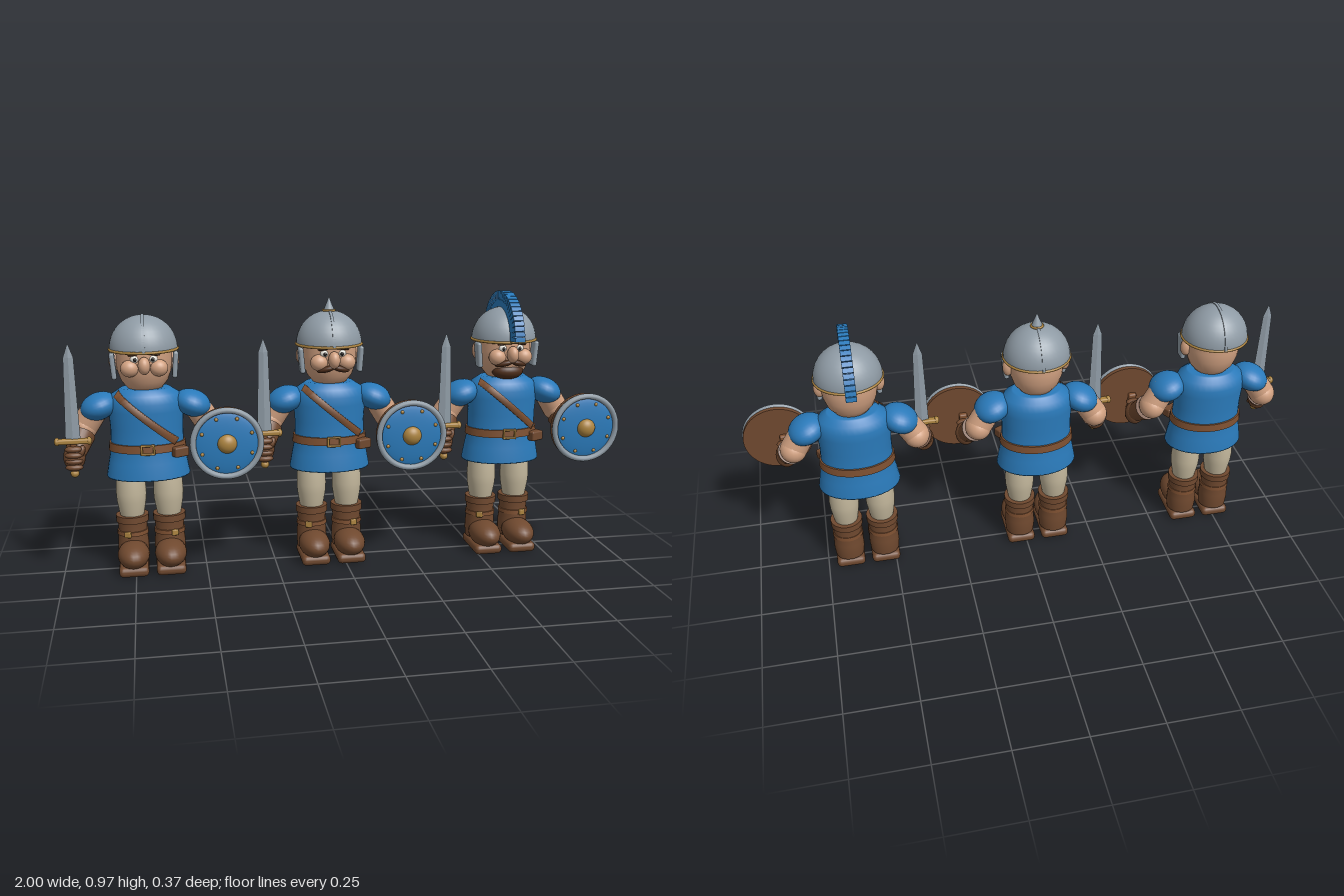
import * as THREE from 'three';
import { RoundedBoxGeometry } from 'three/addons/geometries/RoundedBoxGeometry.js';
import { ConvexGeometry } from 'three/addons/geometries/ConvexGeometry.js';

const mat = (name, color) => Object.assign(new THREE.MeshStandardMaterial({ color }), { name });
const M = {
  skin: mat('skin', 0xd0a080), blue: mat('blue cloth', 0x2a7aba), steel: mat('steel', 0x8f9ba5),
  gold: mat('brass', 0xac8440), leather: mat('leather', 0x70492f), belt: mat('belt leather', 0x7e5031),
  hair: mat('hair', 0x4f2f1c), linen: mat('linen', 0xc2b69b), white: mat('eye white', 0xeeeae0), dark: mat('pupil', 0x1c1a1a),
};
M.belt.side = THREE.DoubleSide;

const V = (x, y, z) => new THREE.Vector3(x, y, z);
const ball = new THREE.SphereGeometry(1, 24, 16);
const smallBall = new THREE.SphereGeometry(1, 12, 8);
const dome = new THREE.SphereGeometry(1, 36, 10, 0, Math.PI * 2, 0, Math.PI / 2);
const rbox = (w, h, d, r = 0.006) => new RoundedBoxGeometry(w, h, d, 2, r);
const cyl = (r0, r1, h, n = 32) => new THREE.CylinderGeometry(r0, r1, h, n);
const lathe = (pts) => new THREE.LatheGeometry(pts.map(([r, y]) => new THREE.Vector2(r, y)), 36);

function add(parent, name, geo, material, pos = [0, 0, 0], scale = [1, 1, 1], rot = [0, 0, 0]) {
  const m = new THREE.Mesh(geo, material);
  m.name = name;
  m.position.set(...pos);
  m.scale.set(...scale);
  m.rotation.set(...rot);
  parent.add(m);
  return m;
}

// tapered tube between two points
function limb(parent, name, material, a, b, ra, rb) {
  const m = add(parent, name, cyl(rb, ra, a.distanceTo(b), 24), material);
  m.position.copy(a).lerp(b, 0.5);
  m.quaternion.setFromUnitVectors(V(0, 1, 0), b.clone().sub(a).normalize());
}

// flat ring sector standing in the side plane
function arcPlate(r0, r1, a0, a1, width, n = 24) {
  const s = new THREE.Shape();
  s.absarc(0, 0, r1, a0, a1, false);
  s.absarc(0, 0, r0, a1, a0, true);
  const g = new THREE.ExtrudeGeometry(s, { depth: width, bevelEnabled: false, curveSegments: n });
  return g.translate(0, 0, -width / 2).rotateY(Math.PI / 2);
}

const TORSO = [[0.143, 0.345], [0.145, 0.35], [0.136, 0.40], [0.126, 0.45], [0.125, 0.52], [0.129, 0.58],
  [0.128, 0.61], [0.117, 0.638], [0.09, 0.655]];
const DEPTH = 0.73;
function torsoRadius(y) {
  for (let i = 1; i < TORSO.length; i++) {
    const [r0, y0] = TORSO[i - 1], [r1, y1] = TORSO[i];
    if (y <= y1) return r0 + (r1 - r0) * (y - y0) / (y1 - y0);
  }
  return 0.09;
}

// chest strap laid over the tunic surface
function strapGeometry() {
  const g = new THREE.PlaneGeometry(1, 1, 20, 3), p = g.attributes.position;
  const d = V(0.2, -0.17, 0), n = V(0.17, 0.2, 0).normalize();
  for (let i = 0; i < p.count; i++) {
    const t = p.getX(i), row = Math.round(p.getY(i) * 6); // rows -3, -1, 1, 3
    const x = d.x * t + n.x * Math.sign(row) * 0.012;
    const y = 0.56 + d.y * t + n.y * Math.sign(row) * 0.012;
    const z = DEPTH * Math.sqrt(Math.max(0.0004, torsoRadius(y) ** 2 - x * x));
    p.setXYZ(i, x, y, z + (Math.abs(row) === 1 ? 0.01 : -0.004));
  }
  g.computeVertexNormals();
  return g;
}

function buildBody(g) {
  add(g, 'tunic', lathe([[0, 0.345], ...TORSO, [0.085, 0.659], [0, 0.66]]), M.blue, [0, 0, -0.003], [1, 1, DEPTH]);
  add(g, 'belt', cyl(0.131, 0.134, 0.028, 40), M.belt, [0, 0.456, -0.003], [1, 1, 0.75]);
  add(g, 'chestStrap', strapGeometry(), M.belt);
  add(g, 'pouch', rbox(0.055, 0.035, 0.035), M.leather, [0.11, 0.44, 0.065], [1, 1, 1], [0, 0.5, 0]);
  const buckle = new THREE.Group();
  buckle.name = 'beltBuckle';
  buckle.position.set(0, 0.457, 0.1);
  for (const s of [-1, 1]) {
    add(buckle, 'buckleSide', rbox(0.008, 0.036, 0.008, 0.003), M.gold, [s * 0.021, 0, 0]);
    add(buckle, 'buckleBar', rbox(0.05, 0.008, 0.008, 0.003), M.gold, [0, s * 0.015, 0]);
  }
  g.add(buckle);
}

function buildLeg(g, s) {
  const x = s * 0.065;
  add(g, 'trouserLeg', lathe([[0.04, 0.18], [0.047, 0.21], [0.054, 0.25], [0.056, 0.28], [0.054, 0.32], [0.05, 0.36]]), M.linen, [x, 0, -0.016], [0.95, 1, 1]);
  add(g, 'bootCuff', cyl(0.059, 0.059, 0.024), M.leather, [x, 0.186, -0.017], [0.97, 1, 1]);
  add(g, 'bootShaft', lathe([[0.052, 0.04], [0.055, 0.07], [0.054, 0.1], [0.05, 0.14], [0.053, 0.18]]), M.leather, [x, 0, -0.018]);
  add(g, 'bootFoot', ball, M.leather, [x, 0.067, 0.047], [0.056, 0.047, 0.09]);
  add(g, 'bootSole', rbox(0.104, 0.036, 0.18, 0.016), M.leather, [x, 0.018, 0.021]);
  add(g, 'bootStrap', cyl(0.054, 0.055, 0.015), M.belt, [x, 0.135, -0.016]);
  add(g, 'bootBuckle', rbox(0.024, 0.022, 0.012, 0.004), M.gold, [x + s * 0.018, 0.135, 0.036], [1, 1, 1], [0, s * 0.35, 0]);
}

function buildArm(g, s) {
  const shoulder = V(s * 0.165, 0.6, 0), elbow = V(s * 0.213, 0.525, -0.008), hand = V(s * 0.246, 0.44, 0.08);
  add(g, 'sleeve', ball, M.blue, [s * 0.16, 0.597, 0], [0.066, 0.047, 0.072], [0, 0, -s * 0.35]);
  limb(g, 'upperArm', M.skin, shoulder, elbow, 0.046, 0.047);
  add(g, 'elbow', ball, M.skin, elbow.toArray(), [0.047, 0.047, 0.052]);
  const cuff = elbow.clone().lerp(hand, 0.28);
  limb(g, 'gloveCuff', M.leather, cuff, hand, 0.047, 0.033);
  add(g, 'gloveHand', ball, M.leather, hand.toArray(), [0.037, 0.046, 0.037]);
  for (let i = 0; i < 4; i++) {
    add(g, 'finger', smallBall, M.leather, [s * 0.246, 0.473 - i * 0.021, 0.104], [0.03, 0.012, 0.017]);
  }
  add(g, 'thumb', smallBall, M.leather, [s * 0.222, 0.462, 0.098], [0.013, 0.024, 0.014], [0, 0, s * 0.4]);
}

function buildSword(g) {
  const sword = new THREE.Group();
  sword.name = 'sword';
  sword.position.set(-0.246, 0, 0.1);
  const pts = [V(0, 0.834, 0)];
  for (const [y, w, d] of [[0.5, 0.025, 0.007], [0.785, 0.017, 0.005]]) {
    pts.push(V(w, y, 0), V(-w, y, 0), V(0, y, d), V(0, y, -d));
  }
  add(sword, 'blade', new ConvexGeometry(pts), M.steel);
  add(sword, 'crossguard', rbox(0.12, 0.018, 0.026), M.gold, [0, 0.5, 0]);
  for (const s of [-1, 1]) add(sword, 'guardEnd', smallBall, M.gold, [s * 0.053, 0.5, 0], [0.01, 0.014, 0.015]);
  add(sword, 'grip', cyl(0.011, 0.011, 0.11, 16), M.belt, [0, 0.445, 0]);
  add(sword, 'pommel', smallBall, M.gold, [0, 0.388, 0], [0.015, 0.014, 0.015]);
  g.add(sword);
}

function buildShield(g) {
  const shield = new THREE.Group();
  shield.name = 'shield';
  shield.position.set(0.267, 0.483, 0);
  const face = [Math.PI / 2, 0, 0];
  add(shield, 'shieldBack', cyl(0.123, 0.123, 0.016, 48), M.leather, [0, 0, 0.137], [1, 1, 1], face);
  add(shield, 'shieldRim', new THREE.TorusGeometry(0.116, 0.0105, 10, 48), M.steel, [0, 0, 0.156]);
  add(shield, 'shieldFace', dome, M.blue, [0, 0, 0.148], [0.114, 0.016, 0.114], face);
  add(shield, 'shieldBoss', dome, M.gold, [0, 0, 0.158], [0.034, 0.027, 0.034], face);
  for (let i = 0; i < 8; i++) {
    const a = (i + 0.5) * Math.PI / 4;
    add(shield, 'shieldRivet', smallBall, M.gold, [Math.cos(a) * 0.092, Math.sin(a) * 0.092, 0.158], [0.0065, 0.0065, 0.005]);
  }
  add(shield, 'shieldGrip', rbox(0.03, 0.09, 0.02), M.belt, [-0.02, -0.03, 0.122]);
  g.add(shield);
}

function buildHead(g, kind) {
  add(g, 'head', lathe([[0.03, 0.645], [0.06, 0.66], [0.08, 0.685], [0.092, 0.72], [0.096, 0.755], [0.094, 0.8]]), M.skin, [0, 0, 0.002], [1, 1, 0.94]);
  add(g, 'nose', ball, M.skin, [0, 0.75, 0.105], [0.021, 0.03, 0.026]);
  for (const s of [-1, 1]) {
    add(g, 'cheek', ball, M.skin, [s * 0.049, 0.738, 0.078], [0.031, 0.029, 0.028]);
    add(g, 'eye', smallBall, M.white, [s * 0.031, 0.77, 0.084], [0.015, 0.013, 0.01]);
    add(g, 'pupil', smallBall, M.dark, [s * 0.03, 0.769, 0.092], [0.006, 0.007, 0.004]);
    add(g, 'eyebrow', smallBall, M.hair, [s * 0.034, 0.787, 0.09], [0.02, 0.005, 0.007], [0, 0, -s * 0.15]);
    add(g, 'ear', ball, M.skin, [s * 0.1, 0.754, 0.002], [0.02, 0.033, 0.019]);
    add(g, 'cheekGuard', rbox(0.018, 0.092, 0.046, 0.008), M.steel, [s * 0.105, 0.742, 0.034], [1, 1, 1], [0, 0, -s * 0.08]);
    if (kind > 0) add(g, 'moustache', ball, M.hair, [s * 0.027, 0.716, 0.09], [0.033, 0.011, 0.016], [0, s * 0.35, -s * 0.25]);
  }
  if (kind < 2) {
    const smile = new THREE.TorusGeometry(0.03, 0.003, 8, 20, Math.PI * 0.6).rotateZ(Math.PI * 1.2);
    add(g, 'mouth', smile, M.hair, [0, 0.727, 0.077], [1, 0.9, 1], [0.3, 0, 0]);
  } else {
    add(g, 'beard', ball, M.hair, [0, 0.682, 0.052], [0.058, 0.03, 0.038]);
  }
}

function buildHelmet(g, kind) {
  const h = new THREE.Group();
  h.name = 'helmet';
  h.position.set(0, 0.793, -0.004);
  add(h, 'helmetDome', dome, M.steel, [0, 0, 0], [0.117, 0.117, 0.113]);
  add(h, 'helmetLining', cyl(0.116, 0.116, 0.004, 40), M.steel, [0, 0, 0], [1, 1, 0.965]);
  add(h, 'helmetRim', new THREE.TorusGeometry(0.116, 0.005, 8, 48), M.gold, [0, 0, 0], [1, 0.965, 1], [Math.PI / 2, 0, 0]);
  if (kind < 2) add(h, 'helmetRidge', arcPlate(0.106, 0.12, 0, Math.PI, 0.01), M.steel, [0, 0, 0], [1, 1, 0.97]);
  if (kind === 1) {
    add(h, 'spikeRing', new THREE.TorusGeometry(0.02, 0.004, 8, 24), M.gold, [0, 0.117, 0], [1, 1, 1], [Math.PI / 2, 0, 0]);
    add(h, 'spike', lathe([[0.021, 0.112], [0.016, 0.126], [0.008, 0.145], [0, 0.168]]), M.steel);
  }
  if (kind === 2) {
    add(h, 'crestHolder', arcPlate(0.106, 0.126, 0, Math.PI, 0.026), M.gold, [0, 0, 0], [1, 0.97, 1.04]);
    const crest = new THREE.Group();
    crest.name = 'crest';
    crest.scale.z = 1.04;
    const a0 = 0.06, n = 27, step = (Math.PI - 2 * a0) / n;
    add(crest, 'crestBase', arcPlate(0.116, 0.148, a0, Math.PI - a0, 0.034, 40), M.blue);
    for (let i = 0; i < n; i++) {
      add(crest, 'crestTuft', arcPlate(0.14, 0.173, a0 + i * step + 0.008, a0 + (i + 1) * step - 0.008, 0.036, 3), M.blue);
    }
    h.add(crest);
  }
  g.add(h);
}

export function createModel() {
  const model = new THREE.Group();
  model.name = 'threeSoldiers';
  ['plainHelmetSoldier', 'spikedHelmetSoldier', 'crestedHelmetSoldier'].forEach((name, kind) => {
    const g = new THREE.Group();
    g.name = name;
    g.position.x = -0.692 + kind * 0.647;
    buildBody(g);
    for (const s of [-1, 1]) {
      buildLeg(g, s);
      buildArm(g, s);
    }
    buildSword(g);
    buildShield(g);
    buildHead(g, kind);
    buildHelmet(g, kind);
    model.add(g);
  });
  return model;
}
